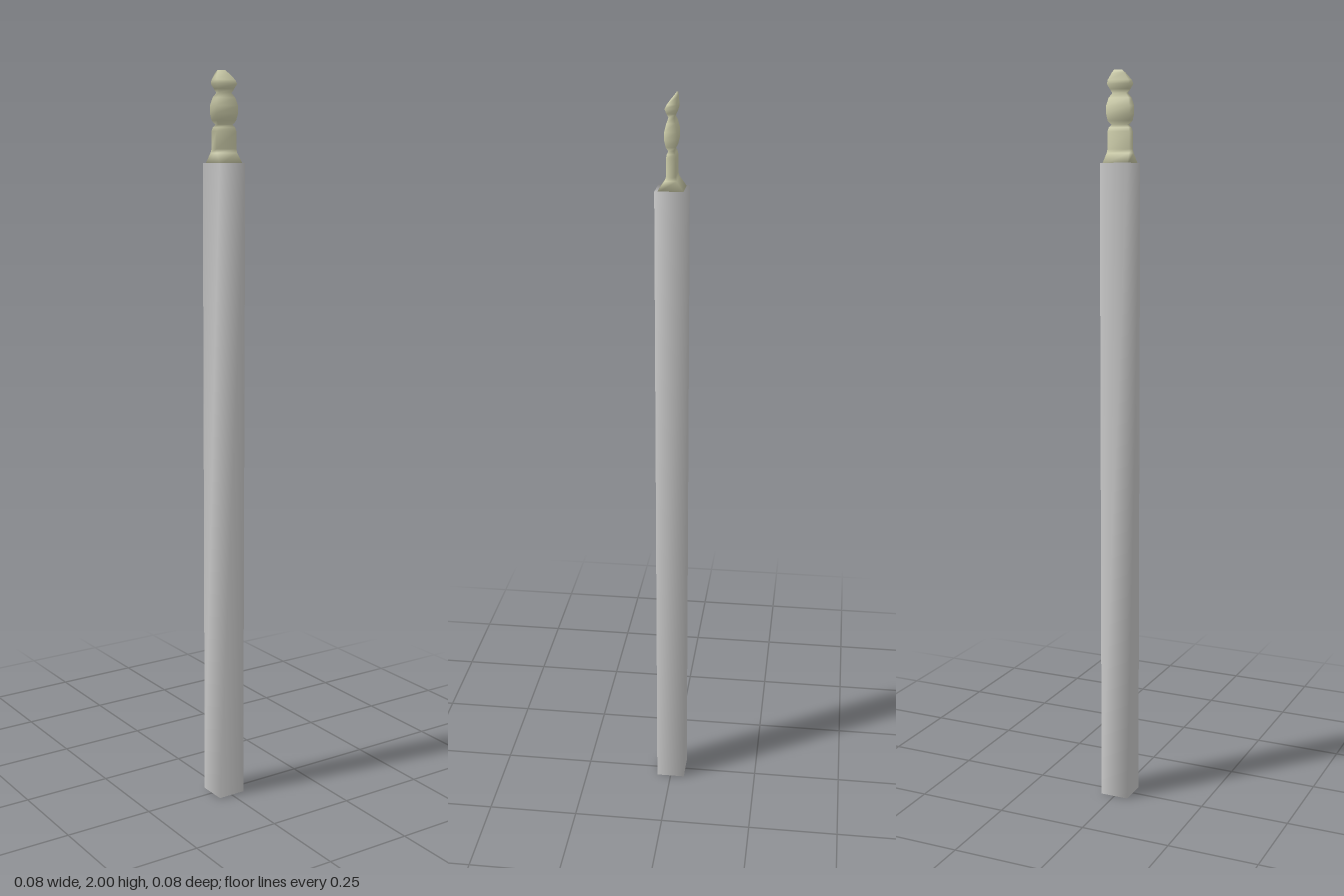
import * as THREE from 'three';

// Closed four-sided loft with shared, smooth corners.
// Each section: [y, half width x, half depth z, z offset]
function loft(name, sections, color) {
  const pos = [], idx = [];
  for (const [y, hx, hz, oz = 0] of sections) {
    for (const [sx, sz] of [[1, 1], [1, -1], [-1, -1], [-1, 1]]) pos.push(sx * hx, y, sz * hz + oz);
  }
  for (let r = 0; r < sections.length - 1; r++) {
    for (let i = 0; i < 4; i++) {
      const a = r * 4 + i, b = r * 4 + (i + 1) % 4;
      idx.push(a, b, b + 4, a, b + 4, a + 4);
    }
  }
  const t = (sections.length - 1) * 4;
  idx.push(0, 2, 1, 0, 3, 2, t, t + 1, t + 2, t, t + 2, t + 3);
  const geo = new THREE.BufferGeometry();
  geo.setAttribute('position', new THREE.Float32BufferAttribute(pos, 3));
  geo.setIndex(idx);
  geo.computeVertexNormals();
  const mesh = new THREE.Mesh(geo, new THREE.MeshStandardMaterial({ color }));
  mesh.name = name;
  return mesh;
}

export function createModel() {
  const group = new THREE.Group();
  group.name = 'squarePost';

  // Long square shaft
  group.add(loft('shaft', [[0, 0.04, 0.04], [1.765, 0.04, 0.04]], 0xcccccc));

  // Flat carved tip: flared foot, waist, bulge, waist, chisel-shaped head
  group.add(loft('carvedTip', [
    [1.76, 0.036, 0.036],
    [1.79, 0.032, 0.015],
    [1.8, 0.031, 0.012],
    [1.845, 0.031, 0.012],
    [1.855, 0.028, 0.01],
    [1.862, 0.022, 0.007],
    [1.872, 0.03, 0.012],
    [1.89, 0.033, 0.016],
    [1.91, 0.033, 0.016],
    [1.93, 0.028, 0.011],
    [1.942, 0.019, 0.007],
    [1.952, 0.024, 0.011],
    [1.965, 0.031, 0.015],
    [1.975, 0.029, 0.012, -0.002],
    [1.992, 0.018, 0.005, -0.009],
    [2.0, 0.011, 0.002, -0.012],
  ], 0xcfcfac));

  return group;
}
